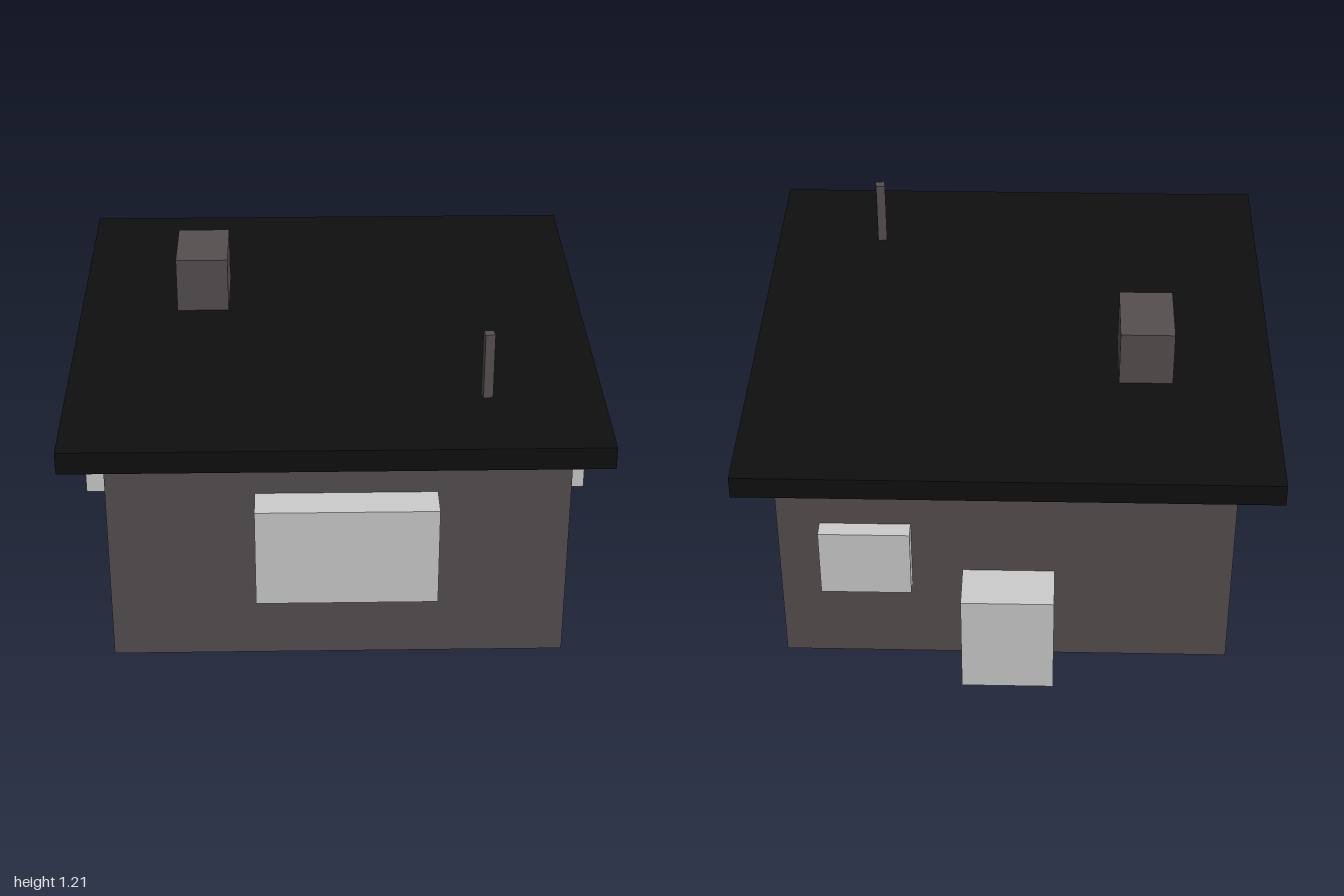
import * as THREE from 'three';

const material = (color) => new THREE.MeshStandardMaterial({ color });

// Box given by its [min, max] extent on each axis
function block(name, [x0, x1], [y0, y1], [z0, z1], mat) {
  const mesh = new THREE.Mesh(new THREE.BoxGeometry(x1 - x0, y1 - y0, z1 - z0), mat);
  mesh.name = name;
  mesh.position.set((x0 + x1) / 2, (y0 + y1) / 2, (z0 + z1) / 2);
  return mesh;
}

export function createModel() {
  const house = new THREE.Group();
  house.name = 'house';
  const wall = material(0x554e4f);
  const black = material(0x0f0f0f);
  const grey = material(0xcccccc);

  // Walls and flat overhanging roof
  house.add(
    block('walls', [-0.835, 0.835], [0, 0.88], [-0.815, 0.855], wall),
    block('roof', [-0.985, 0.965], [0.87, 0.955], [-0.975, 1.0], black),
  );

  // Chimney and slightly turned vent pipe on the roof
  const pipe = block('ventPipe', [0.525, 0.561], [0.93, 1.21], [0.6, 0.636], wall);
  pipe.rotation.y = 0.15;
  house.add(block('chimney', [-0.61, -0.41], [0.93, 1.17], [-0.375, -0.09], wall), pipe);

  // Projecting windows on all four sides, and the back door
  const sill = [0.31, 0.695];
  house.add(
    block('frontWindow', [-0.3, 0.357], sill, [0.8, 0.988], grey),
    block('leftWindow', [0.78, 0.982], sill, [-0.185, 0.208], grey),
    block('rightWindow', [-0.977, -0.78], sill, [-0.185, 0.208], grey),
    block('backWindow', [0.347, 0.68], [0.35, 0.625], [-0.88, -0.77], grey),
    block('backDoor', [-0.18, 0.16], [0, 0.41], [-1.0, -0.77], grey),
  );
  return house;
}
